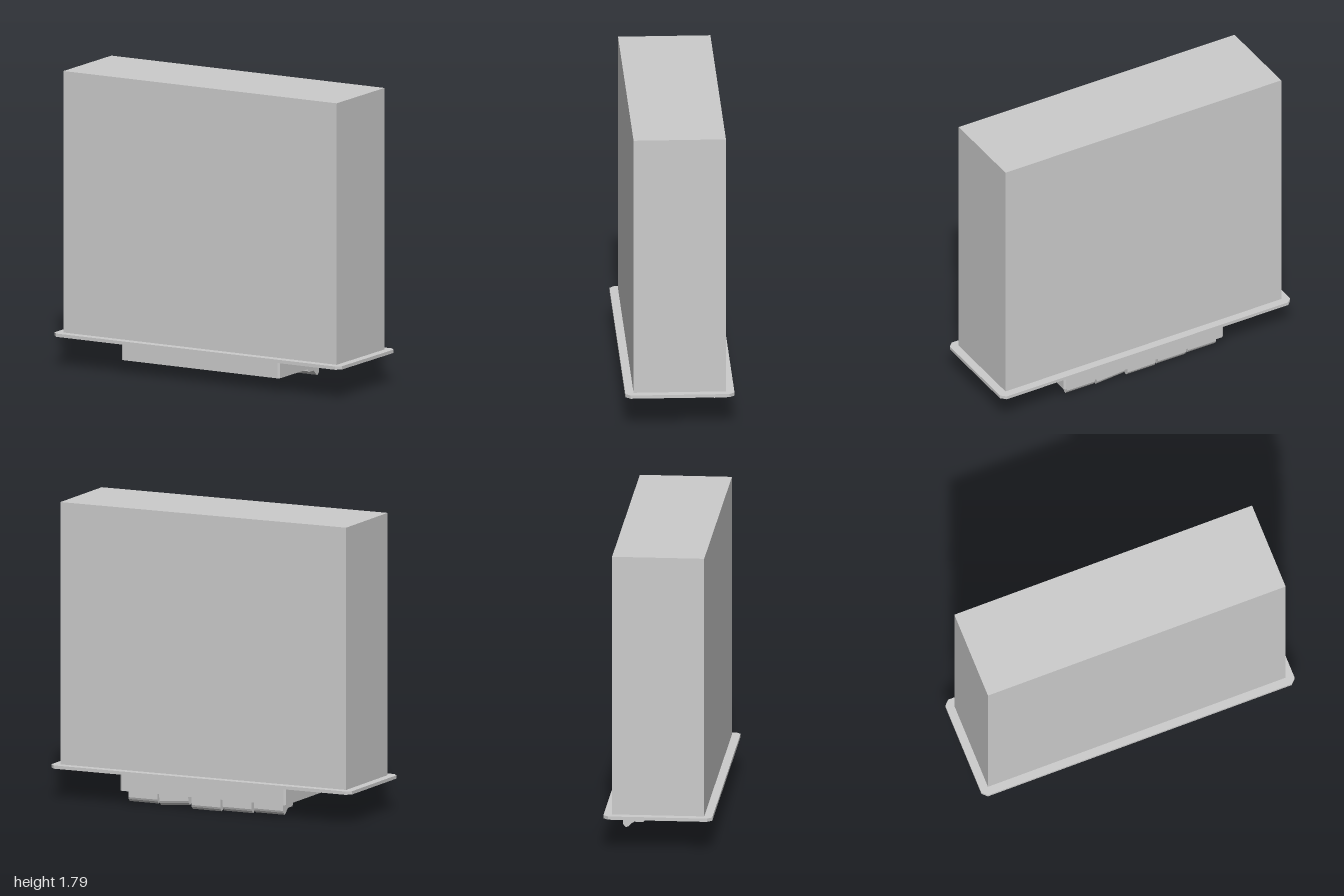
import * as THREE from 'three';

const material = new THREE.MeshStandardMaterial({ color: 0xcccccc, flatShading: true });

// Rectangle path with clipped corners
function clippedRect(path, w, d, c) {
  const x = w / 2, z = d / 2;
  path.moveTo(-x + c, -z);
  [[x - c, -z], [x, -z + c], [x, z - c], [x - c, z], [-x + c, z], [-x, z - c], [-x, -z + c]]
    .forEach(([px, pz]) => path.lineTo(px, pz));
  path.closePath();
  return path;
}

// Extrude a plan outline upwards between two heights
function slab(shape, y0, y1) {
  const geometry = new THREE.ExtrudeGeometry(shape, { depth: y1 - y0, bevelEnabled: false });
  return geometry.rotateX(-Math.PI / 2).translate(0, y0, 0);
}

function addMesh(group, name, geometry) {
  const mesh = new THREE.Mesh(geometry, material);
  mesh.name = name;
  group.add(mesh);
  return mesh;
}

export function createModel() {
  const model = new THREE.Group();
  model.name = 'controlUnit';

  // Tall housing
  addMesh(model, 'housing', new THREE.BoxGeometry(1.9, 1.585, 0.55).translate(0, 1.0025, 0));

  // Thin mounting plate with clipped corners
  addMesh(model, 'mountingPlate', slab(clippedRect(new THREE.Shape(), 2, 0.65, 0.03), 0.19, 0.21));

  // Open rim below the plate
  const rim = clippedRect(new THREE.Shape(), 1.1, 0.56, 0.012);
  rim.holes.push(clippedRect(new THREE.Path(), 1.03, 0.49, 0.012));
  addMesh(model, 'rim', slab(rim, 0.085, 0.19)).position.z = -0.005;

  // Row of keys, each with a hooked lip; profile is (-z, y) extruded along x
  const profile = new THREE.Shape([
    [0.12, 0.195], [0.12, 0.045], [0.125, 0.039], [0.18, 0.039], [0.195, 0.03],
    [0.215, 0.01], [0.23, 0.004], [0.243, 0.018], [0.248, 0.03], [0.248, 0.195],
  ].map(([a, b]) => new THREE.Vector2(a, b)));
  const width = 0.193;
  const keyGeometry = new THREE.ExtrudeGeometry(profile, { depth: width, bevelEnabled: false })
    .translate(0, 0, -width / 2).rotateY(Math.PI / 2);

  const lifts = [0.013, 0.006, 0, 0.013, 0.013];
  const rolls = [0, 0, 0, -0.08, 0];
  lifts.forEach((lift, i) => {
    const key = addMesh(model, `key${i + 1}`, keyGeometry);
    key.position.set((i - 2) * 0.209 - 0.003, lift, 0);
    key.rotation.z = rolls[i];
  });

  return model;
}
